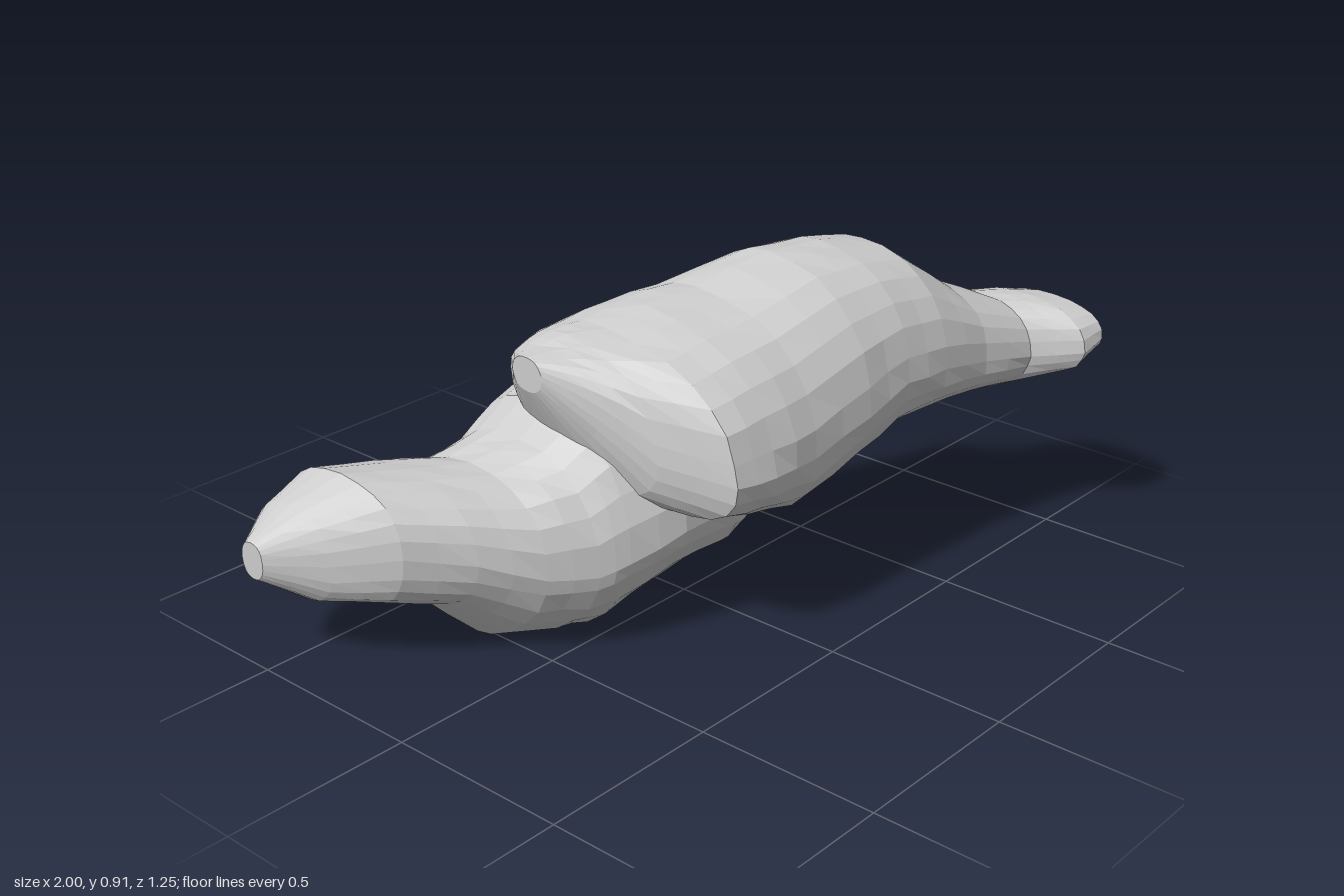
import * as THREE from 'three';

const SIDES = 24;

// Cross-sections along x: [x, yLow, yHigh, zBack, zFront, tilt, keel]
const upperLobe = [
  [-0.42, 0.67, 0.76, -0.19, -0.09, -0.1, 0.9],
  [-0.36, 0.54, 0.77, -0.26, 0.04, -0.2, 0.9],
  [-0.3, 0.41, 0.79, -0.28, 0.18, -0.35, 0.9],
  [-0.22, 0.37, 0.80, -0.29, 0.37, -0.4, 0.9],
  [-0.1, 0.34, 0.83, -0.27, 0.39, -0.35, 0.9],
  [0.05, 0.31, 0.85, -0.22, 0.40, -0.3, 0.9],
  [0.25, 0.36, 0.91, -0.12, 0.41, -0.3, 0.9],
  [0.4, 0.43, 0.91, -0.05, 0.42, -0.3, 0.9],
  [0.54, 0.44, 0.89, -0.01, 0.44, -0.3, 0.9],
  [0.7, 0.45, 0.76, 0.1, 0.46, -0.2, 0.9],
  [0.85, 0.44, 0.69, 0.19, 0.50, -0.1, 0.95],
  [0.93, 0.48, 0.69, 0.24, 0.62, -0.15, 1],
  [1.0, 0.53, 0.68, 0.31, 0.63, -0.15, 1],
];
const lowerLobe = [
  [-1.0, 0.25, 0.35, -0.56, -0.48, 0, 0.9],
  [-0.9, 0.18, 0.43, -0.62, -0.34, 0, 0.75],
  [-0.8, 0.17, 0.50, -0.62, -0.19, 0, 0.8],
  [-0.66, 0.14, 0.49, -0.57, -0.08, -0.05, 0.9],
  [-0.52, 0.0, 0.48, -0.52, 0.02, 0, 1.25],
  [-0.41, 0.0, 0.53, -0.46, 0.09, -0.1, 1.25],
  [-0.34, 0.01, 0.61, -0.43, 0.13, -0.15, 1.25],
  [-0.2, 0.11, 0.64, -0.44, 0.19, -0.2, 1.1],
  [-0.05, 0.15, 0.64, -0.43, 0.21, -0.25, 1],
  [0.02, 0.17, 0.61, -0.39, 0.2, -0.3, 0.95],
  [0.1, 0.19, 0.54, -0.29, 0.17, -0.3, 0.95],
  [0.17, 0.22, 0.46, -0.2, 0.13, -0.3, 0.9],
  [0.2, 0.26, 0.38, -0.14, 0.08, -0.3, 0.9],
];

function randomSource(seed) {
  return () => {
    seed = (seed * 16807) % 2147483647;
    return seed / 2147483647;
  };
}

// Below 1 squares the circle, above 1 pinches it to a diamond
const shaped = (v, power) => Math.sign(v) * Math.abs(v) ** power;

// Closed lumpy body lofted through the sections
function makeLobe(name, sections, seed) {
  const random = randomSource(seed);
  const rings = [];
  sections.forEach((s, i) => {
    rings.push(s);
    const next = sections[i + 1];
    if (next) rings.push(s.map((v, k) => (v + next[k]) / 2));
  });

  const positions = [];
  const indices = [];
  for (const [x, y0, y1, z0, z1, tilt, keel] of rings) {
    for (let j = 0; j < SIDES; j++) {
      const a = (j / SIDES) * Math.PI * 2;
      const r = 1.01 - random() * 0.03;
      // The keel value shapes the underside only
      const power = Math.sin(a) < 0 ? keel : 0.88;
      positions.push(
        x,
        Math.max(0, (y0 + y1) / 2 + ((y1 - y0) / 2) * shaped(Math.sin(a + tilt), power) * r),
        (z0 + z1) / 2 + ((z1 - z0) / 2) * shaped(Math.cos(a), power) * r
      );
    }
  }
  for (let i = 0; i < rings.length - 1; i++) {
    for (let j = 0; j < SIDES; j++) {
      const a = i * SIDES + j;
      const b = i * SIDES + ((j + 1) % SIDES);
      indices.push(a, a + SIDES, b, b, a + SIDES, b + SIDES);
    }
  }
  // End caps
  const last = (rings.length - 1) * SIDES;
  for (let j = 1; j < SIDES - 1; j++) {
    indices.push(0, j, j + 1);
    indices.push(last, last + j + 1, last + j);
  }

  const geometry = new THREE.BufferGeometry();
  geometry.setAttribute('position', new THREE.Float32BufferAttribute(positions, 3));
  geometry.setIndex(indices);
  geometry.computeVertexNormals();
  const material = new THREE.MeshStandardMaterial({ color: 0xcccccc, flatShading: true });
  const mesh = new THREE.Mesh(geometry, material);
  mesh.name = name;
  return mesh;
}

export function createModel() {
  const group = new THREE.Group();
  group.name = 'asteroid';
  group.add(makeLobe('upperLobe', upperLobe, 17));
  group.add(makeLobe('lowerLobe', lowerLobe, 53));
  return group;
}
